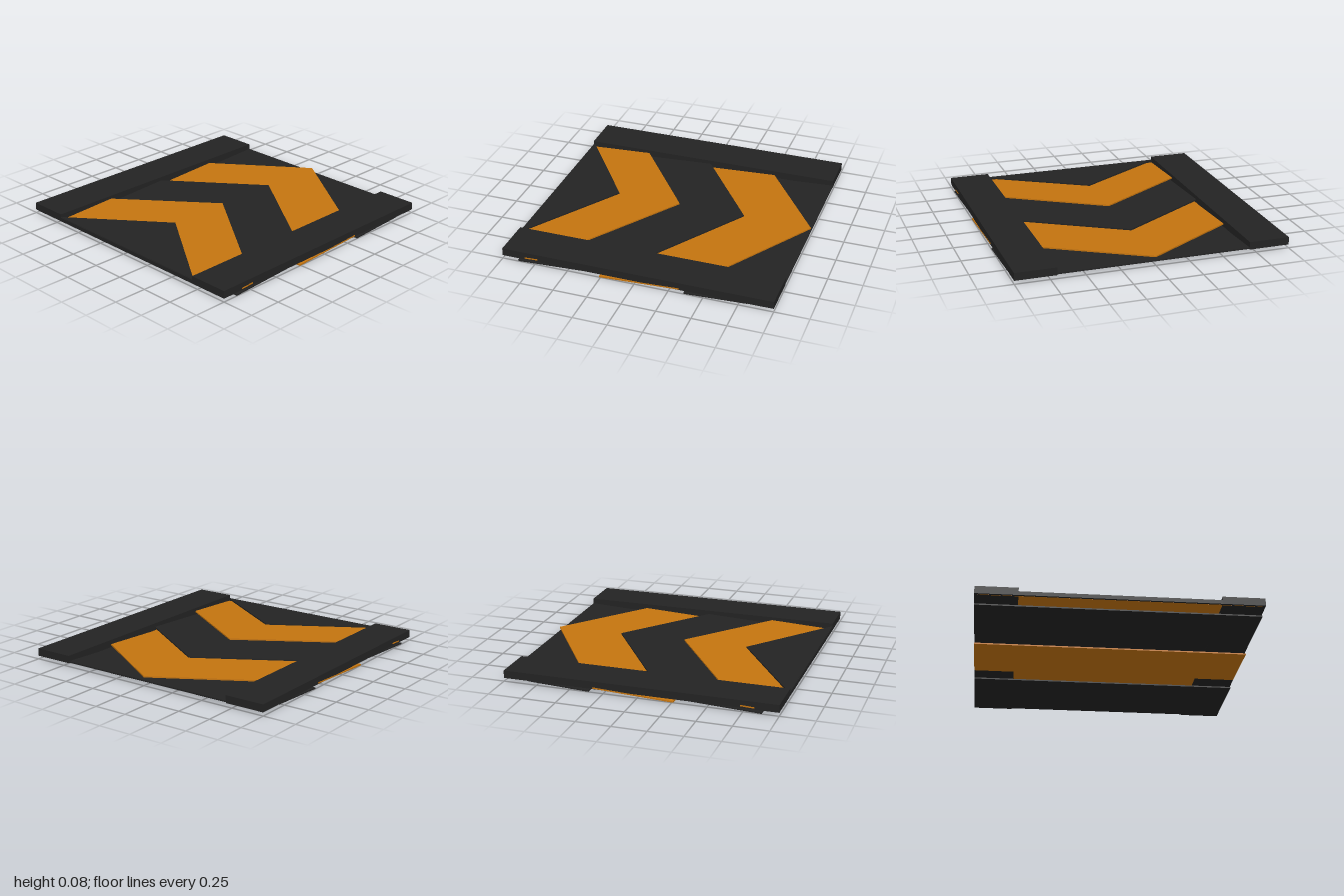
import * as THREE from 'three';

const SLOPE = 0.048; // every shingle rises towards the back
const THICK = 0.01;

// Tilted plate from the +x half of its outline, given as [x, z] and mirrored;
// its underside would meet the ground at z = ground
function shingle(name, material, half, ground) {
  const outline = [...half, ...half.map(([x, z]) => [-x, z]).reverse()];
  const shape = new THREE.Shape(outline.map(([x, z]) => new THREE.Vector2(x, -z)));
  const geometry = new THREE.ExtrudeGeometry(shape, { depth: THICK, bevelEnabled: false });
  geometry.rotateX(-Math.PI / 2);
  const p = geometry.attributes.position;
  for (let i = 0; i < p.count; i++) p.setY(i, p.getY(i) + SLOPE * (ground - p.getZ(i)));
  geometry.computeVertexNormals();
  const mesh = new THREE.Mesh(geometry, material);
  mesh.name = name;
  return mesh;
}

function box(name, material, size, position) {
  const mesh = new THREE.Mesh(new THREE.BoxGeometry(...size), material);
  mesh.name = name;
  mesh.position.set(...position);
  return mesh;
}

export function createModel() {
  const dark = new THREE.MeshStandardMaterial({ color: 0x232323 });
  dark.name = 'charcoal';
  const orange = new THREE.MeshStandardMaterial({ color: 0xc4740f });
  orange.name = 'amber';

  const group = new THREE.Group();
  group.name = 'arrowPad';

  // Side rails
  for (const [name, side] of [['leftRail', 1], ['rightRail', -1]]) {
    group.add(box(name, dark, [0.3, 0.056, 2], [side * 0.85, 0.053, 0]));
  }

  // Overlapping pointed shingles, back to front
  group.add(
    shingle('backShingle', dark, [[0.72, -1], [0.999, -0.81], [0.999, -0.36]], -0.36),
    shingle('backArrow', orange, [[0, -1], [1.001, -0.33], [1.001, 0.26]], 0.26),
    shingle('middleShingle', dark, [[0, -0.49], [0.999, 0.2], [0.999, 0.88]], 0.88),
    shingle('frontArrow', orange,
      [[0, 0.015], [1.001, 0.73], [1.001, 0.83], [0.98, 0.83], [0.98, 0.985]], 1.5),
    shingle('frontShingle', dark, [[0, 0.5], [0.71, 0.995]], 1.95)
  );

  // Front lip closing the ends of the shingles
  group.add(box('frontLip', dark, [1.4, 0.029, 0.015], [0, 0.0395, 0.9925]));
  return group;
}
